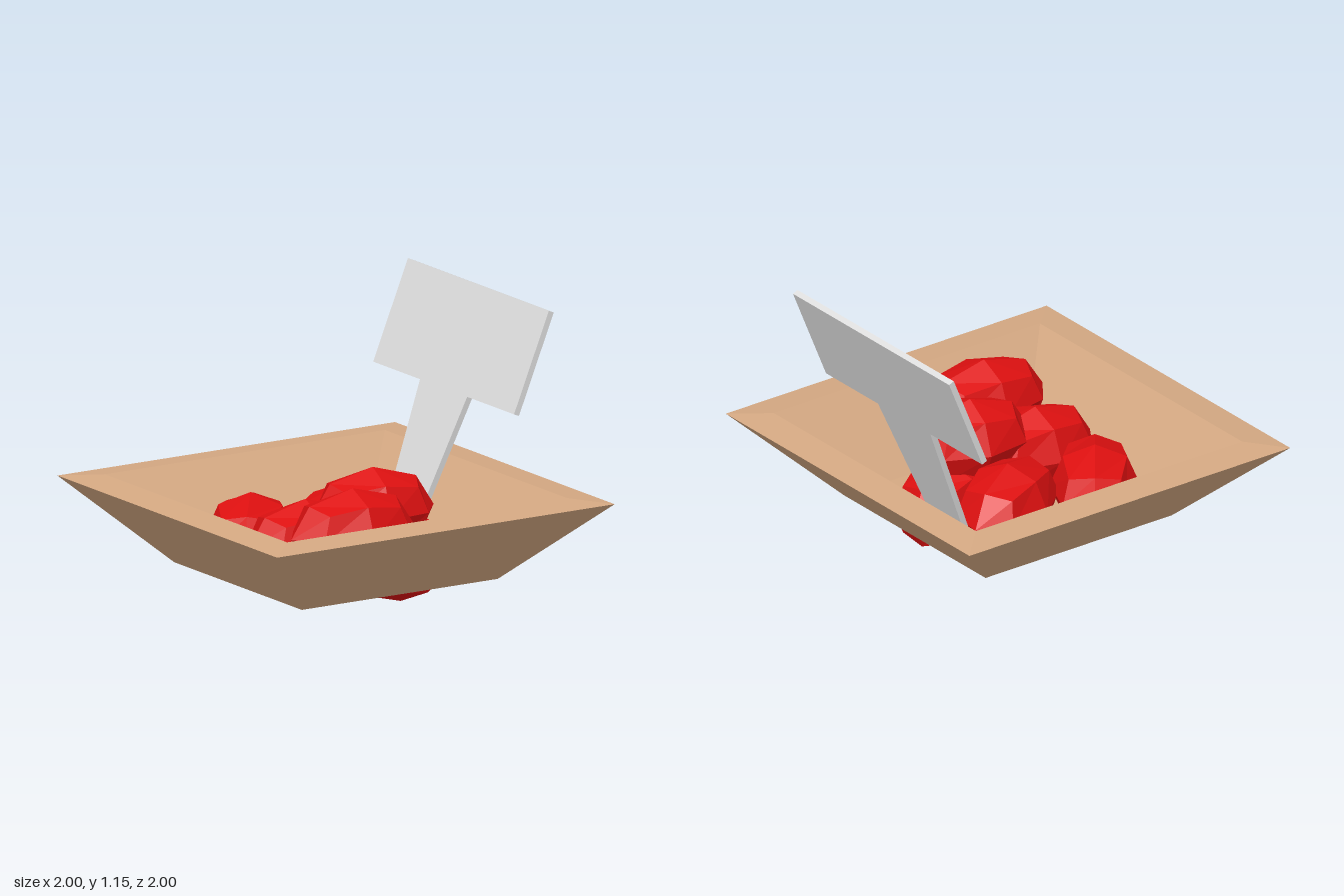
import * as THREE from 'three';

const mat = (name, color) => {
  const m = new THREE.MeshStandardMaterial({ color, flatShading: true });
  m.name = name;
  return m;
};

export function createModel() {
  const wood = mat('tan wood', 0xd4a882);
  const red = mat('fruit red', 0xdd1010);
  const grey = mat('sign light grey', 0xdedede);
  const model = new THREE.Group();
  model.name = 'fruitTray';

  const add = (name, geometry, material, parent = model) => {
    const mesh = new THREE.Mesh(geometry, material);
    mesh.name = name;
    parent.add(mesh);
    return mesh;
  };

  // Square tray: four-sided lathe, outside wall, sloped rim, inside wall, floor
  const profile = [[0, 0.13], [0.646, 0.13], [1.113, 0.455], [0.923, 0.47], [0.545, 0.17], [0, 0.17]]
    .map(([r, y]) => new THREE.Vector2(r, y));
  add('tray', new THREE.LatheGeometry(profile, 4, 0.456), wood);

  // Leaning sign: wide board on a tapering neck
  const half = [[0.1, -0.645], [0.169, 0], [0.505, 0], [0.505, 0.427]];
  const outline = [...half, ...half.map(([x, y]) => [-x, y]).reverse()]
    .map(([x, y]) => new THREE.Vector2(x, y));
  const board = new THREE.ExtrudeGeometry(new THREE.Shape(outline), { depth: 0.025, bevelEnabled: false });
  board.translate(0, 0, -0.025);
  const sign = add('sign', board, grey);
  sign.rotation.set(-0.39, -0.33, 0, 'YXZ');
  sign.position.set(0.06, 0.755, -0.605);

  // Fruit: a subdivided cube rounded into a faceted ball, stretched along z
  const ball = new THREE.BoxGeometry(1, 1, 1, 2, 2, 2);
  const p = ball.attributes.position;
  const v = new THREE.Vector3();
  for (let i = 0; i < p.count; i++) {
    v.fromBufferAttribute(p, i).normalize();
    p.setXYZ(i, v.x, v.y, v.z);
  }
  ball.computeVertexNormals();

  // centre x, y, z, then long-axis direction x, z and half length
  const fruits = new THREE.Group();
  fruits.name = 'fruits';
  model.add(fruits);
  [
    [-0.125, 0.25, -0.19, 0.06, 0.54, 0.27],
    [-0.315, 0.25, 0.14, 0.31, 0.46, 0.277],
    [0.18, 0.175, -0.18, 0.08, 1, 0.25],
    [0.155, 0.39, -0.035, -0.24, 0.45, 0.26],
    [0.02, 0.29, 0.22, -0.09, 0.25, 0.265],
    [0.305, 0.39, 0.285, -0.21, 0.51, 0.275],
  ].forEach(([x, y, z, ax, az, length], i) => {
    const fruit = add('fruit' + (i + 1), ball, red, fruits);
    fruit.position.set(x, y, z);
    fruit.rotation.y = Math.atan2(ax, az);
    fruit.scale.set(0.178, 0.175, length);
  });

  return model;
}
